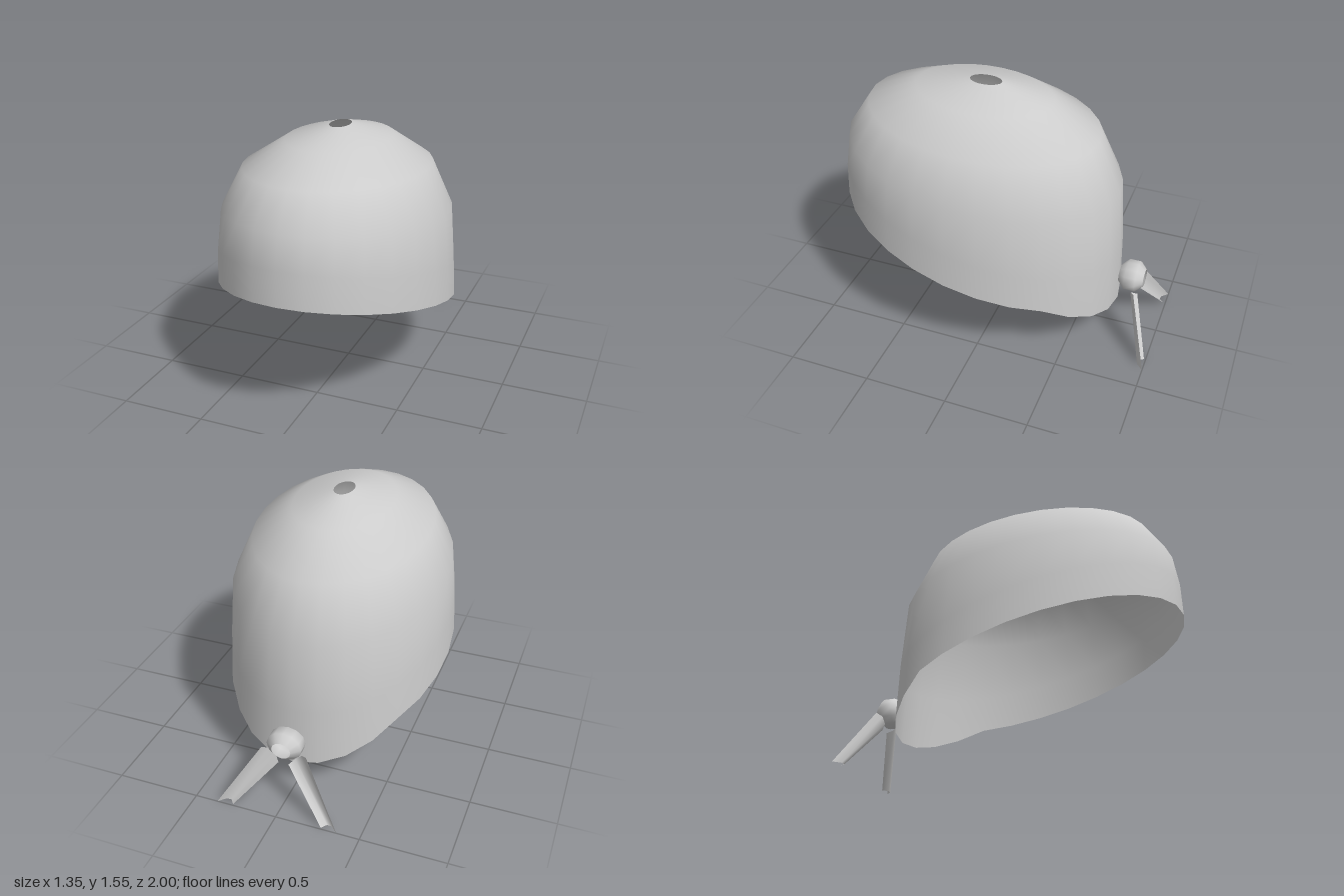
import * as THREE from 'three';

// Skin over a list of cross-sections; closed sections wrap round without a seam.
function loft(sections, closed) {
  const n = sections[0].length;
  const index = [];
  for (let i = 0; i < sections.length - 1; i++) {
    for (let j = 0; j < (closed ? n : n - 1); j++) {
      const k = (j + 1) % n;
      const a = i * n + j, b = i * n + k, c = (i + 1) * n + k, d = (i + 1) * n + j;
      index.push(a, b, c, a, c, d);
    }
  }
  const geometry = new THREE.BufferGeometry();
  geometry.setAttribute('position', new THREE.Float32BufferAttribute(sections.flat(2), 3));
  geometry.setIndex(index);
  geometry.computeVertexNormals();
  return geometry;
}

// Ring of points around the y axis; heightAt gives y from z.
function ring(rx, rz, zc, sides, heightAt) {
  return Array.from({ length: sides }, (_, j) => {
    const t = (j / sides) * Math.PI * 2;
    const z = zc + rz * Math.cos(t);
    return [rx * Math.sin(t), heightAt(z), z];
  });
}

export function createModel() {
  const group = new THREE.Group();
  const cloth = new THREE.MeshStandardMaterial({ color: 0xcccccc, side: THREE.DoubleSide });
  cloth.name = 'grey cloth';

  const add = (name, geometry) => {
    const mesh = new THREE.Mesh(geometry, cloth);
    mesh.name = name;
    group.add(mesh);
    return mesh;
  };

  // Cap: open shell with a sloping rim that drops to a point at the back
  const rimHeight = z => z > -0.41 ? 0.8 - (1 - z) * 0.27 : 0.42 + (z + 0.41) * 0.667;
  const rings = [ring(0.673, 0.87, 0.13, 28, rimHeight)];
  // half width, front z, front y, back z, back y
  for (const [rx, zf, yf, zb, yb] of [
    [0.662, 0.992, 1.0, -0.73, 0.55],
    [0.635, 0.96, 1.19, -0.7, 0.97],
    [0.515, 0.83, 1.385, -0.56, 1.285],
    [0.29, 0.54, 1.5, -0.28, 1.465],
    [0.058, 0.215, 1.551, 0.025, 1.549],
  ]) {
    const tilt = z => yb + (yf - yb) * (z - zb) / (zf - zb);
    rings.push(ring(rx, (zf - zb) / 2, (zf + zb) / 2, 28, tilt));
  }
  add('cap', loft(rings, true));

  // Knot: rounded bead with open ends, its axis pointing backwards
  const profile = [[0.05, -0.075], [0.09, -0.033], [0.09, 0.033], [0.05, 0.075]]
    .map(([r, y]) => new THREE.Vector2(r, y));
  const knot = add('knot', new THREE.LatheGeometry(profile, 12));
  knot.rotation.x = -Math.PI / 2;
  knot.scale.x = 1.16;
  knot.position.set(0, 0.395, -0.82);

  // Tails: two shallow folded strips that widen and spread downwards
  for (const side of [1, -1]) {
    const sections = [
      [[0.135, 0.36, -0.86], [0.1, 0.345, -0.835], [0.06, 0.31, -0.835], [0.03, 0.285, -0.865]],
      [[0.365, 0, -1], [0.325, 0, -0.96], [0.295, 0, -0.958], [0.27, 0, -0.99]],
    ].map(s => s.map(([x, y, z]) => [x * side, y, z]));
    if (side < 0) sections.forEach(s => s.reverse());
    add(side > 0 ? 'leftTail' : 'rightTail', loft(sections, false));
  }
  return group;
}
